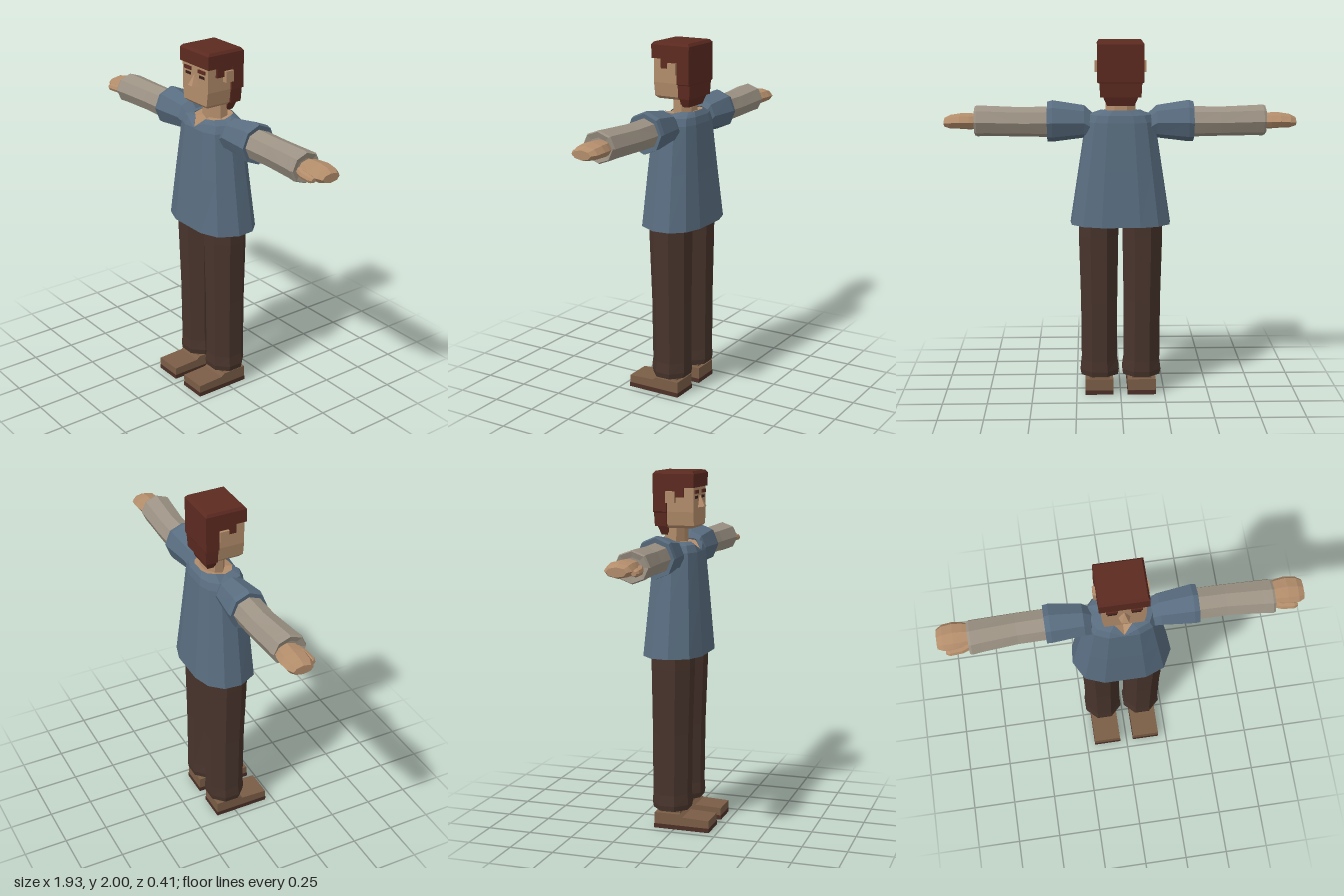
import * as THREE from 'three';
import { ConvexGeometry } from 'three/addons/geometries/ConvexGeometry.js';

const V = (x, y, z) => new THREE.Vector3(x, y, z);
const mat = (name, color, side = THREE.FrontSide) => {
  const m = new THREE.MeshStandardMaterial({ color, side });
  m.name = name;
  return m;
};

// Flat-faced skin over a list of closed rings; faces are turned outward by signed volume.
function loft(rings, capStart = true, capEnd = true) {
  const tris = [], n = rings[0].length;
  const centre = ring => ring.reduce((a, p) => a.add(p), V(0, 0, 0)).divideScalar(n);
  for (let r = 0; r + 1 < rings.length; r++) {
    for (let i = 0; i < n; i++) {
      const j = (i + 1) % n, A = rings[r], B = rings[r + 1];
      tris.push([A[i], A[j], B[j]], [A[i], B[j], B[i]]);
    }
  }
  const cap = (ring, flip) => {
    const c = centre(ring);
    ring.forEach((p, i) => {
      const q = ring[(i + 1) % n];
      tris.push(flip ? [c, q, p] : [c, p, q]);
    });
  };
  if (capStart) cap(rings[0], true);
  if (capEnd) cap(rings[rings.length - 1], false);
  const mid = rings.reduce((a, r) => a.add(centre(r)), V(0, 0, 0)).divideScalar(rings.length);
  let volume = 0;
  for (const [a, b, c] of tris) {
    volume += a.clone().sub(mid).dot(b.clone().sub(mid).cross(c.clone().sub(mid)));
  }
  const pts = tris.flatMap(([a, b, c]) => (volume < 0 ? [a, c, b] : [a, b, c]));
  const g = new THREE.BufferGeometry().setFromPoints(pts);
  g.computeVertexNormals();
  return g;
}

// Octagon across the x axis (corner up), for arms
const armRing = s => ([x, cy, cz, ry, rz]) => Array.from({ length: 8 }, (_, i) => {
  const a = i * Math.PI / 4;
  return V(s * x, cy + ry * Math.cos(a), cz + rz * Math.sin(a));
});
// Octagon across the y axis (flat front), for legs and neck
const legRing = s => ([y, cx, cz, rx, rz]) => Array.from({ length: 8 }, (_, i) => {
  const a = (i + 0.5) * Math.PI / 4, k = 1 / Math.cos(Math.PI / 8);
  return V(s * cx + rx * k * Math.cos(a), y, cz + rz * k * Math.sin(a));
});
// Rectangle across the y axis, for head and hair
const boxRing = ([y, hx, z0, z1]) => [V(-hx, y, z0), V(hx, y, z0), V(hx, y, z1), V(-hx, y, z1)];

// Torso cross-section: half outline from front centre to back centre, then mirrored
const HALF = [[0, 1], [0.42, 1], [0.8, 0.76], [1, 0.15], [0.97, -0.42], [0.74, -0.82], [0.38, -1], [0, -1]];
const OUTLINE = [...HALF, ...HALF.slice(1, -1).reverse().map(([u, w]) => [-u, w])];
const torsoRing = ([y, hx, zf, zb]) =>
  OUTLINE.map(([u, w]) => V(u * hx, y, (zf + zb) / 2 + w * (zf - zb) / 2));

export function createModel() {
  const model = new THREE.Group();
  model.name = 'figure';
  const skin = mat('skin', 0xb38d6b);
  const hair = mat('hair', 0x5c2a20);
  const shirt = mat('shirt', 0x596d80, THREE.DoubleSide);
  const undershirt = mat('undershirt', 0x9c9284);
  const trousers = mat('trousers', 0x48342c);
  const shoe = mat('shoe', 0x7a5d46);
  const sole = mat('sole', 0x4c3027);
  const dark = mat('eye', 0x3a1f1a);

  const add = (name, geometry, material) => {
    const m = new THREE.Mesh(geometry, material);
    m.name = name;
    model.add(m);
    return m;
  };
  const box = (name, material, x0, x1, y0, y1, z0, z1) =>
    add(name, new THREE.BoxGeometry(Math.abs(x1 - x0), y1 - y0, z1 - z0), material)
      .position.set((x0 + x1) / 2, (y0 + y1) / 2, (z0 + z1) / 2);

  // Shirt body with a V-shaped neckline
  const collar = torsoRing([1.615, 0.11, 0.05, -0.13]);
  collar[0].set(0, 1.568, 0.092);
  collar.forEach((p, i) => { if (i > 3 && i < 11) p.y = 1.628; });
  const shirtRings = [
    [0.99, 0.28, 0.14, -0.205], [1.3, 0.232, 0.118, -0.178],
    [1.56, 0.192, 0.097, -0.157], [1.6, 0.172, 0.08, -0.148],
  ].map(torsoRing);
  shirtRings[3][0].set(0, 1.563, 0.097);
  add('shirtBody', loft([...shirtRings, collar], false, false), shirt);

  // Upper chest showing inside the neckline, and the neck
  const chest = collar.map(p => V(p.x * 0.98, p.y - 0.004, p.z));
  add('chest', loft([chest.map(p => V(p.x * 0.8, p.y - 0.05, p.z * 0.8)), chest]), skin);
  add('neck', loft([[1.54, 0, -0.05, 0.083, 0.06], [1.7, 0, -0.045, 0.08, 0.055]].map(legRing(1))), skin);

  // Hips hidden under the shirt
  add('hips', loft([[1.02, 0.2, 0.07, -0.13], [1.12, 0.215, 0.08, -0.14]].map(torsoRing)), trousers);

  // Head, nose and face details
  add('head', loft([
    [1.69, 0.088, 0.07, -0.07], [1.705, 0.102, 0.085, -0.08],
    [1.78, 0.113, 0.085, -0.08], [1.94, 0.113, 0.085, -0.08],
  ].map(boxRing)), skin);
  add('nose', new ConvexGeometry([
    V(-0.032, 1.8, 0.08), V(0.032, 1.8, 0.08), V(0, 1.865, 0.08), V(0, 1.865, 0.09),
    V(-0.018, 1.805, 0.12), V(0.018, 1.805, 0.12),
  ]), skin);

  // Hair: cap, back block and tapered nape
  add('hairCap', loft([
    [1.912, 0.128, 0.092, -0.142], [1.985, 0.128, 0.092, -0.142], [2, 0.118, 0.08, -0.13],
  ].map(boxRing)), hair);
  add('hairBack', loft([
    [1.7, 0.112, -0.068, -0.136], [1.775, 0.116, -0.066, -0.14],
    [1.78, 0.128, -0.065, -0.142], [1.93, 0.128, -0.065, -0.142],
  ].map(boxRing)), hair);
  add('hairNape', loft([
    [1.65, 0.075, -0.065, -0.11], [1.71, 0.1, -0.065, -0.128],
  ].map(boxRing)), hair);

  for (const s of [1, -1]) {
    const side = s > 0 ? 'left' : 'right';

    box(side + 'Brow', hair, s * 0.032, s * 0.092, 1.878, 1.897, 0.08, 0.092);
    box(side + 'Eye', dark, s * 0.038, s * 0.085, 1.85, 1.865, 0.082, 0.088);
    box(side + 'Ear', skin, s * 0.105, s * 0.142, 1.83, 1.892, -0.066, -0.015);
    box(side + 'Sideburn', hair, s * 0.1, s * 0.127, 1.86, 1.92, -0.015, 0.033);
    box(side + 'HairOverEar', hair, s * 0.1, s * 0.127, 1.888, 1.92, -0.07, -0.014);

    // Sleeve with a turned-in cuff
    add(side + 'Sleeve', loft([
      [0.15, 1.54, -0.03, 0.06, 0.065], [0.165, 1.535, -0.03, 0.08, 0.08],
      [0.2, 1.557, -0.03, 0.09, 0.09], [0.375, 1.56, -0.033, 0.115, 0.11],
      [0.403, 1.556, -0.033, 0.11, 0.107], [0.4, 1.556, -0.033, 0.08, 0.085],
    ].map(armRing(s))), shirt);
    // Long undershirt sleeve
    add(side + 'Forearm', loft([
      [0.38, 1.556, -0.033, 0.085, 0.088], [0.55, 1.556, -0.032, 0.081, 0.088],
      [0.74, 1.56, -0.02, 0.084, 0.094], [0.79, 1.56, -0.016, 0.086, 0.097],
      [0.803, 1.56, -0.016, 0.08, 0.09], [0.795, 1.56, -0.016, 0.05, 0.06],
    ].map(armRing(s))), undershirt);
    // Hand and thumb
    add(side + 'Hand', loft([
      [0.77, 1.56, -0.03, 0.042, 0.06], [0.83, 1.56, -0.035, 0.045, 0.073],
      [0.88, 1.562, -0.037, 0.043, 0.078], [0.935, 1.558, -0.035, 0.038, 0.074],
      [0.967, 1.555, -0.033, 0.025, 0.055],
    ].map(armRing(s))), skin);
    add(side + 'Thumb', loft([
      [0.79, 1.552, 0.015, 0.025, 0.03], [0.84, 1.548, 0.038, 0.022, 0.024],
      [0.905, 1.546, 0.044, 0.02, 0.022], [0.925, 1.546, 0.042, 0.012, 0.014],
    ].map(armRing(s))), skin);

    // Trouser leg
    add(side + 'Leg', loft([
      [1.08, 0.12, -0.028, 0.112, 0.112], [0.92, 0.123, -0.027, 0.11, 0.112],
      [0.55, 0.121, -0.031, 0.102, 0.104], [0.2, 0.12, -0.033, 0.101, 0.102],
      [0.14, 0.119, -0.032, 0.109, 0.105], [0.11, 0.119, -0.032, 0.104, 0.1],
      [0.115, 0.119, -0.032, 0.065, 0.065],
    ].map(legRing(s))), trousers);

    // Shoe, ankle and sole
    const profile = [[0.204, 0.024], [0.204, 0.068], [0.05, 0.074], [0.03, 0.09], [-0.115, 0.09], [-0.115, 0.024]];
    add(side + 'Shoe', loft([0.042, 0.2].map(x => profile.map(([z, y]) => V(s * x, y, z)))), shoe);
    box(side + 'Ankle', shoe, s * 0.065, s * 0.176, 0.08, 0.13, -0.095, 0.03);
    box(side + 'Sole', sole, s * 0.04, s * 0.202, 0, 0.025, -0.117, 0.206);
  }
  return model;
}
